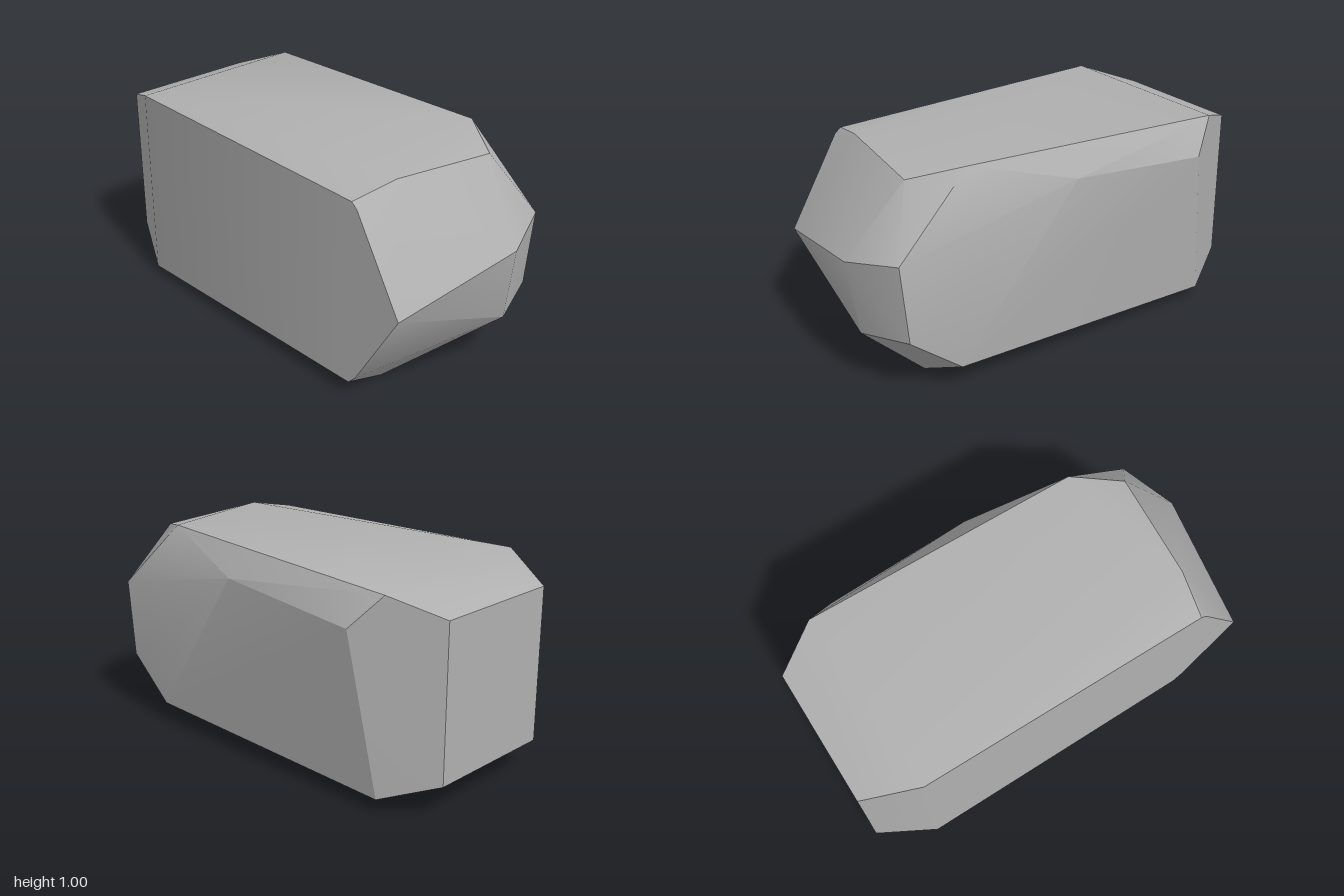
import * as THREE from 'three';
import { ConvexGeometry } from 'three/addons/geometries/ConvexGeometry.js';
import { toCreasedNormals } from 'three/addons/utils/BufferGeometryUtils.js';

// Corners of the boulder, grouped by the side they bound
const corners = {
  top: [[-0.28, 0.978, 0.7], [0.23, 0.947, 0.75], [0.365, 1, 0.53], [0.41, 0.95, -0.78]],
  nose: [[0.4, 0.66, 0.89], [0.14, 0.612, 1], [0.15, 0.26, 0.95], [0.4, 0.293, 0.855]],
  flatSide: [[-0.49, 0.965, -0.74], [-0.49, 0.935, 0.66], [-0.49, 0.91, 0.69], [-0.49, 0.5, 0.93],
    [-0.49, 0.11, 0.69], [-0.49, 0.07, 0.65], [-0.49, 0.046, -0.74]],
  bulgingSide: [[0.485, 0.865, 0.05], [0.49, 0.8, -0.65]],
  bottom: [[0.415, 0.1, 0.61], [0.21, 0.013, 0.68], [-0.28, 0, 0.64], [0.42, 0.06, -0.76]],
  back: [[-0.37, 0.15, -1], [0.28, 0.15, -1], [0.28, 0.865, -1], [-0.37, 0.865, -1]],
};

export function createModel() {
  const group = new THREE.Group();
  group.name = 'rock';

  const stone = new THREE.MeshStandardMaterial({ color: 0xb0b0b0 });
  stone.name = 'grey stone';

  // Convex boulder with soft shading across shallow edges only
  const points = Object.values(corners).flat().map((p) => new THREE.Vector3(...p));
  const geometry = toCreasedNormals(new ConvexGeometry(points), THREE.MathUtils.degToRad(30));
  const boulder = new THREE.Mesh(geometry, stone);
  boulder.name = 'boulder';
  group.add(boulder);
  return group;
}
